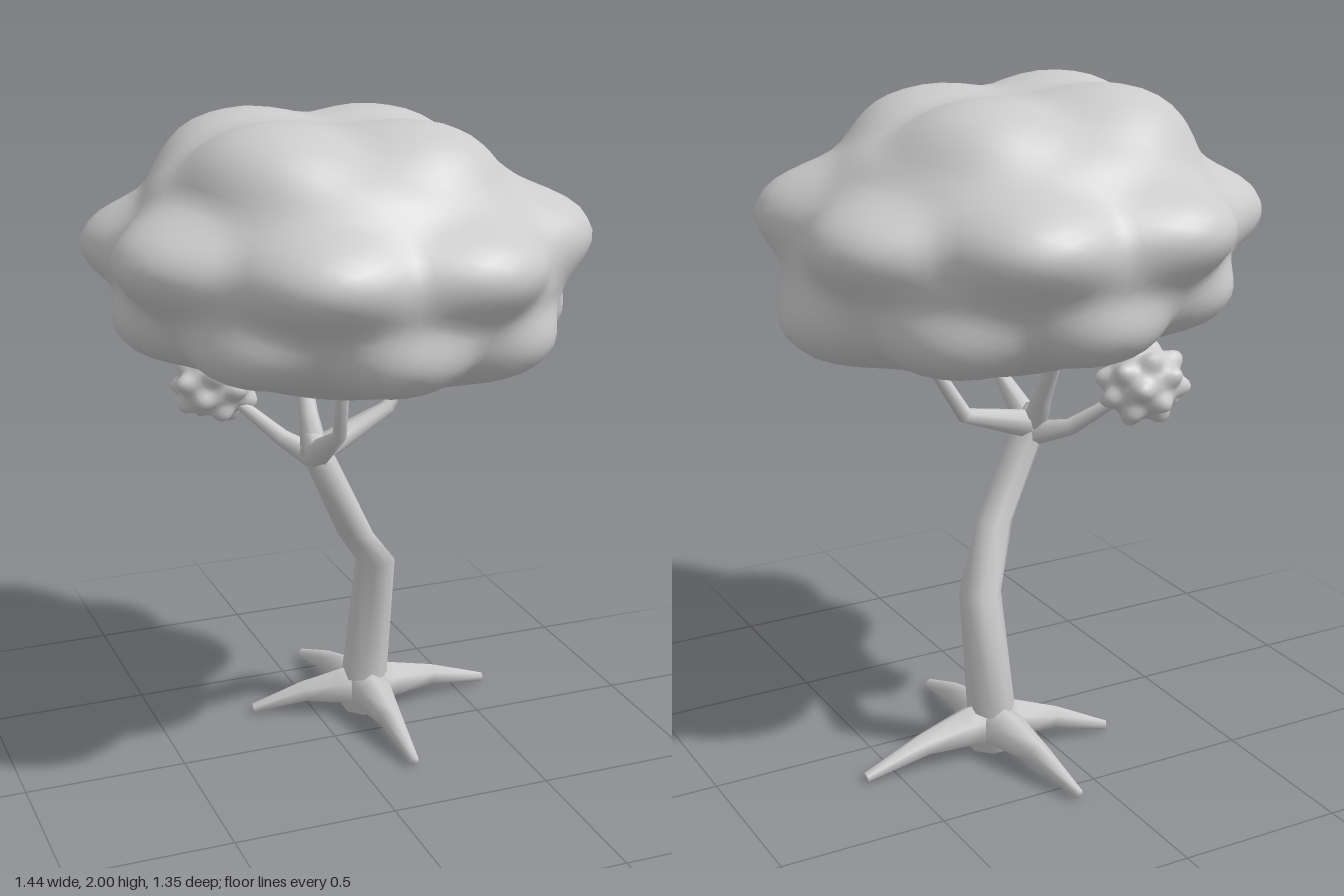
import * as THREE from 'three';
import { mergeVertices } from 'three/addons/utils/BufferGeometryUtils.js';

const material = new THREE.MeshStandardMaterial({ color: 0xcccccc });
const V = (x, y, z) => new THREE.Vector3(x, y, z);

// Tapered limb through points [x, y, z, radius]; level keeps every ring horizontal
function limb(name, points, sides = 8, level = false) {
  const p = points.map(a => V(a[0], a[1], a[2]));
  const n = p.length, pos = [], index = [];
  const whole = p[n - 1].clone().sub(p[0]).normalize();
  const ref = Math.abs(whole.y) > 0.7 ? V(0, 0, 1) : V(0, 1, 0);
  for (let i = 0; i < n; i++) {
    const t = level ? V(0, 1, 0) : p[Math.min(i + 1, n - 1)].clone().sub(p[Math.max(i - 1, 0)]).normalize();
    const u = V(0, 0, 0).crossVectors(ref, t).normalize();
    const v = V(0, 0, 0).crossVectors(t, u);
    for (let j = 0; j < sides; j++) {
      const a = (j + 0.5) / sides * Math.PI * 2, r = points[i][3];
      const q = p[i].clone().addScaledVector(u, r * Math.cos(a)).addScaledVector(v, r * Math.sin(a));
      pos.push(q.x, Math.max(q.y, 0), q.z);
      if (i < n - 1) {
        const k = (j + 1) % sides, b = i * sides, c = b + sides;
        index.push(b + j, b + k, c + j, b + k, c + k, c + j);
      }
    }
  }
  // end caps
  [0, n - 1].forEach(i => {
    const c = pos.length / 3, b = i * sides;
    pos.push(p[i].x, p[i].y, p[i].z);
    for (let j = 0; j < sides; j++) {
      const k = (j + 1) % sides;
      i ? index.push(c, b + j, b + k) : index.push(c, b + k, b + j);
    }
  });
  const g = new THREE.BufferGeometry();
  g.setAttribute('position', new THREE.Float32BufferAttribute(pos, 3));
  g.setIndex(index);
  g.computeVertexNormals();
  const mesh = new THREE.Mesh(g, material);
  mesh.name = name;
  return mesh;
}

// Lumpy ball: radius blends between the lobes and sinks into valleys away from them
function foliage(name, lobes, { center, scale, detail, valley, reach, floor }) {
  let g = new THREE.IcosahedronGeometry(1, detail);
  g.deleteAttribute('normal');
  g.deleteAttribute('uv');
  g = mergeVertices(g, 1e-4);
  const dirs = lobes.map(l => l.clone().normalize());
  const lens = lobes.map(l => l.length());
  const pos = g.attributes.position, d = V(0, 0, 0);
  for (let i = 0; i < pos.count; i++) {
    d.fromBufferAttribute(pos, i).normalize();
    let sum = 0, total = 0, best = -1;
    dirs.forEach((l, k) => {
      const c = d.dot(l), w = Math.exp(16 * (c - 1));
      sum += w * lens[k];
      total += w;
      best = Math.max(best, c);
    });
    const away = THREE.MathUtils.smoothstep(Math.acos(Math.min(best, 1)), 0.04, reach);
    d.multiplyScalar(sum / total * (1 - valley * away)).multiply(scale).add(center);
    if (floor) d.y = Math.max(d.y, floor(d.x, d.z));
    pos.setXYZ(i, d.x, d.y, d.z);
  }
  g.computeVertexNormals();
  const mesh = new THREE.Mesh(g, material);
  mesh.name = name;
  return mesh;
}

export function createModel() {
  const tree = new THREE.Group();
  tree.name = 'tree';

  // Crooked trunk
  tree.add(limb('trunk', [
    [0.165, 0.01, -0.16, 0.075], [0.165, 0.14, -0.16, 0.073], [0.2, 0.525, -0.16, 0.063],
    [0.077, 0.685, -0.025, 0.056], [-0.052, 0.97, -0.02, 0.05], [-0.065, 1.03, -0.015, 0.028],
  ], 8, true));

  // Four spreading roots
  [[-0.19, -0.25], [0.6, -0.19], [0.16, 0.27], [0.1, -0.58]].forEach(([x, z]) => {
    const at = (t, y, r) => [0.165 + (x - 0.165) * t, y, -0.16 + (z + 0.16) * t, r];
    tree.add(limb('root', [at(0, 0.085, 0.08), at(0.22, 0.082, 0.062), at(0.55, 0.07, 0.037), at(1, 0.02, 0.016)], 6));
  });

  // Branches
  [
    [[-0.04, 0.94, -0.02, 0.04], [-0.12, 0.985, -0.14, 0.026], [-0.27, 1.12, -0.27, 0.014]],
    [[-0.05, 0.97, -0.02, 0.045], [0.21, 1.06, -0.09, 0.024], [0.37, 1.31, -0.11, 0.017]],
    [[-0.055, 0.96, -0.02, 0.045], [-0.05, 1.08, 0.17, 0.022], [-0.045, 1.32, 0.2, 0.017]],
    [[-0.055, 0.95, -0.02, 0.045], [-0.055, 1.07, -0.08, 0.03], [-0.04, 1.32, -0.24, 0.018]],
  ].forEach(points => tree.add(limb('branch', points)));

  // Large canopy: upper ring, staggered lower ring and crown of lobes
  const lobes = [];
  for (let k = 0; k < 8; k++) {
    const a = (k + 0.5) * Math.PI / 4, b = k * Math.PI / 4;
    lobes.push(V(1.06 * Math.cos(a), 0.3 + 0.05 * Math.cos(k * 2.3), 1.06 * Math.sin(a)));
    const r = k === 0 ? 0.99 : 0.92;
    lobes.push(V(r * Math.cos(b), -0.5 - 0.1 * Math.cos(b), r * Math.sin(b)));
  }
  lobes.push(V(-0.44, 1.1, 0.32), V(-0.42, 1.1, -0.3), V(0.33, 1.06, 0.34), V(0.33, 1.06, -0.32));
  tree.add(foliage('canopy', lobes, {
    center: V(0, 1.55, 0), scale: V(0.7, 0.4, 0.66), detail: 15, valley: 0.12, reach: 0.45,
    floor: (x, z) => 1.195 + 0.28 * (x * x + z * z) - 0.07 * x,
  }));

  // Small leaf cluster with evenly spread lobes
  const knobs = [];
  for (let i = 0; i < 22; i++) {
    const y = 1 - 2 * (i + 0.5) / 22, a = i * 2.39996, r = Math.sqrt(1 - y * y);
    knobs.push(V(r * Math.cos(a), y, r * Math.sin(a)));
  }
  tree.add(foliage('leafCluster', knobs, {
    center: V(-0.28, 1.14, -0.285), scale: V(0.152, 0.132, 0.122), detail: 10, valley: 0.2, reach: 0.4,
  }));

  return tree;
}
